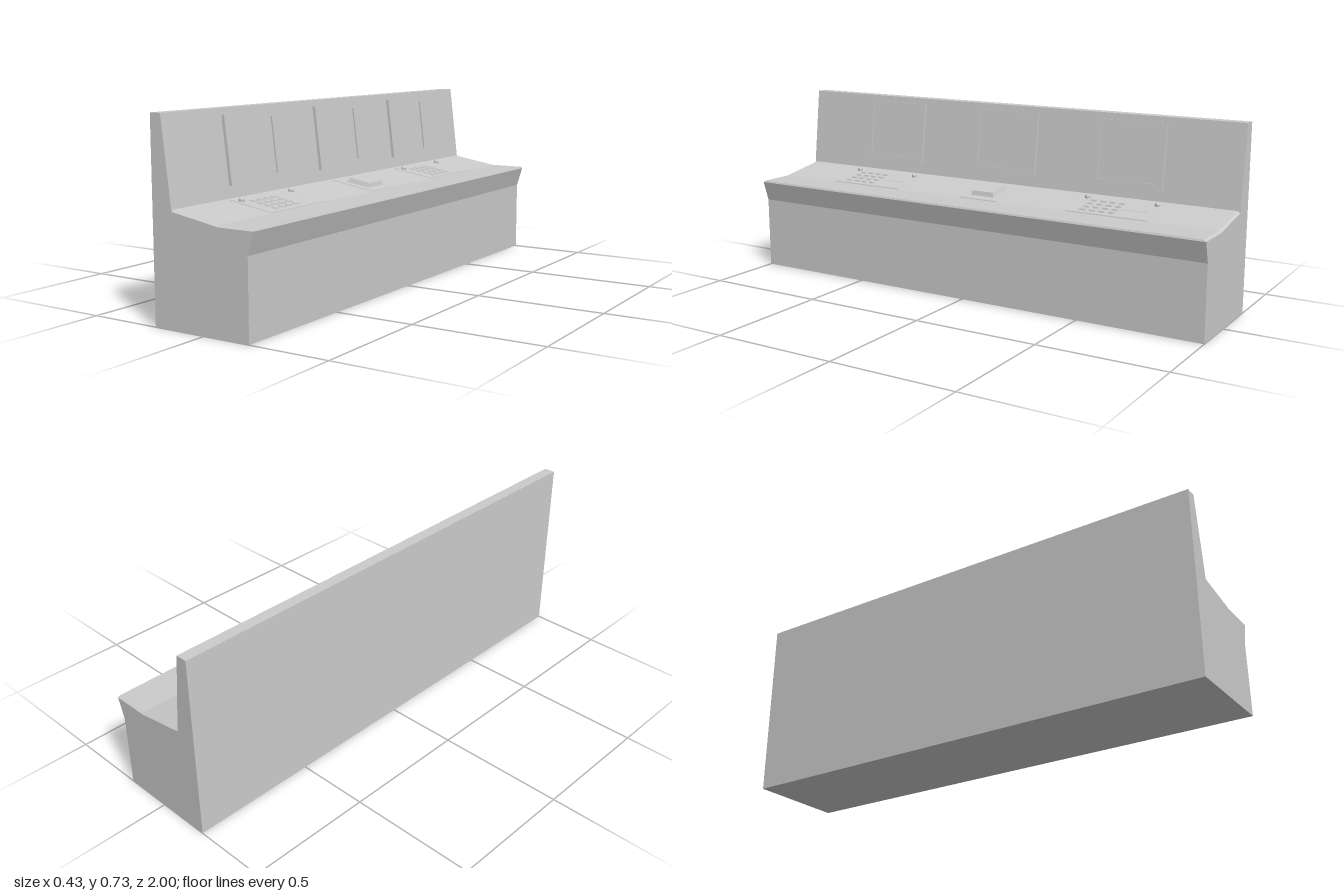
import * as THREE from 'three';

const material = new THREE.MeshStandardMaterial({ color: 0xcccccc });

function add(parent, name, geometry, x = 0, y = 0, z = 0) {
  const mesh = new THREE.Mesh(geometry, material);
  mesh.name = name;
  mesh.position.set(x, y, z);
  parent.add(mesh);
  return mesh;
}

function group(parent, name, x = 0, y = 0, z = 0) {
  const g = new THREE.Group();
  g.name = name;
  g.position.set(x, y, z);
  parent.add(g);
  return g;
}

// Extrudes an x-y profile along the full length of the console
function longProfile(points) {
  const shape = new THREE.Shape(points.map(([x, y]) => new THREE.Vector2(x, y)));
  return new THREE.ExtrudeGeometry(shape, { depth: 2, bevelEnabled: false }).translate(0, 0, -1);
}

// Box resting on y = 0 whose top face is drawn in by an inset
function taperedBox(w, h, d, inset) {
  const geo = new THREE.BoxGeometry(w, h, d).translate(0, h / 2, 0).toNonIndexed();
  const p = geo.attributes.position;
  for (let i = 0; i < p.count; i++) {
    if (p.getY(i) < h / 2) continue;
    p.setX(i, p.getX(i) - Math.sign(p.getX(i)) * inset);
    p.setZ(i, p.getZ(i) - Math.sign(p.getZ(i)) * inset);
  }
  geo.computeVertexNormals();
  return geo;
}

// Desk slab with its two ends chamfered
function deskGeometry() {
  const geo = longProfile([
    [-0.13, 0.404], [0.07, 0.371], [0.215, 0.371],
    [0.212, 0.378], [0.07, 0.378], [-0.13, 0.411],
  ]);
  const p = geo.attributes.position;
  for (let i = 0; i < p.count; i++) {
    const underside = 0.371 + Math.max(0, (0.07 - p.getX(i)) * 0.165);
    if (p.getY(i) > underside + 0.003) p.setZ(i, p.getZ(i) * 0.991);
  }
  geo.computeVertexNormals();
  return geo;
}

// Framed display; local x runs along the wall, y up it, z out of it
function addScreen(parent, z) {
  const mount = group(parent, 'screen', -0.1515, 0.58, z);
  mount.rotation.order = 'ZYX';
  mount.rotation.set(0, Math.PI / 2, Math.atan(0.123));
  const w = 0.145, h = 0.126, b = 0.02;
  const rect = (Type, x, y) => new Type([
    new THREE.Vector2(-x, -y), new THREE.Vector2(x, -y),
    new THREE.Vector2(x, y), new THREE.Vector2(-x, y),
  ]);
  const frame = rect(THREE.Shape, w, h);
  frame.holes.push(rect(THREE.Path, w - b, h - b));
  add(mount, 'screenFrame', new THREE.ExtrudeGeometry(frame, { depth: 0.014, bevelEnabled: false }), 0, 0, -0.002);
  add(mount, 'screenPane', new THREE.BoxGeometry(2 * (w - b), 2 * (h - b), 0.008), 0, 0, 0.002);
}

// Plate with keys, a small flat panel and two round knobs
function addKeypad(parent, z) {
  const pad = group(parent, 'keypad', 0, 0, z);
  add(pad, 'keypadPlate', taperedBox(0.188, 0.004, 0.335, 0.002));
  const key = taperedBox(0.021, 0.007, 0.027, 0.003);
  for (let row = 0; row < 4; row++) {
    for (let col = 0; col < 4; col++) {
      add(pad, 'key', key, -0.035 + row * 0.033, 0.003, 0.105 - col * 0.039);
    }
  }
  add(pad, 'keypadPanel', taperedBox(0.065, 0.003, 0.105, 0.002), -0.01, 0.003, -0.085);
  const dome = new THREE.SphereGeometry(0.011, 16, 6, 0, Math.PI * 2, 0, Math.PI / 2);
  const stem = new THREE.CylinderGeometry(0.011, 0.011, 0.005, 16);
  for (const side of [-1, 1]) {
    add(pad, 'knobStem', stem, -0.057, 0.006, side * 0.145);
    add(pad, 'knobDome', dome, -0.057, 0.0085, side * 0.145);
  }
}

export function createModel() {
  const model = new THREE.Group();
  model.name = 'controlConsole';

  // Cabinet and upright back wall
  add(model, 'body', longProfile([
    [-0.215, 0], [0.19, 0], [0.19, 0.29], [0.215, 0.371], [0.07, 0.371],
    [-0.13, 0.404], [-0.17, 0.73], [-0.215, 0.73],
  ]));
  add(model, 'deskTop', deskGeometry());

  for (const z of [-0.55, 0, 0.55]) addScreen(model, z);

  // Controls lie on the sloped part of the desk
  const controls = group(model, 'controls', -0.0225, 0.3933, 0);
  controls.rotation.z = -Math.atan(0.165);
  for (const z of [-0.555, 0.555]) addKeypad(controls, z);
  add(controls, 'centrePlate', taperedBox(0.188, 0.004, 0.17, 0.002));
  add(controls, 'centreButton', taperedBox(0.106, 0.019, 0.108, 0.008), 0.008, 0.002, 0);

  return model;
}
